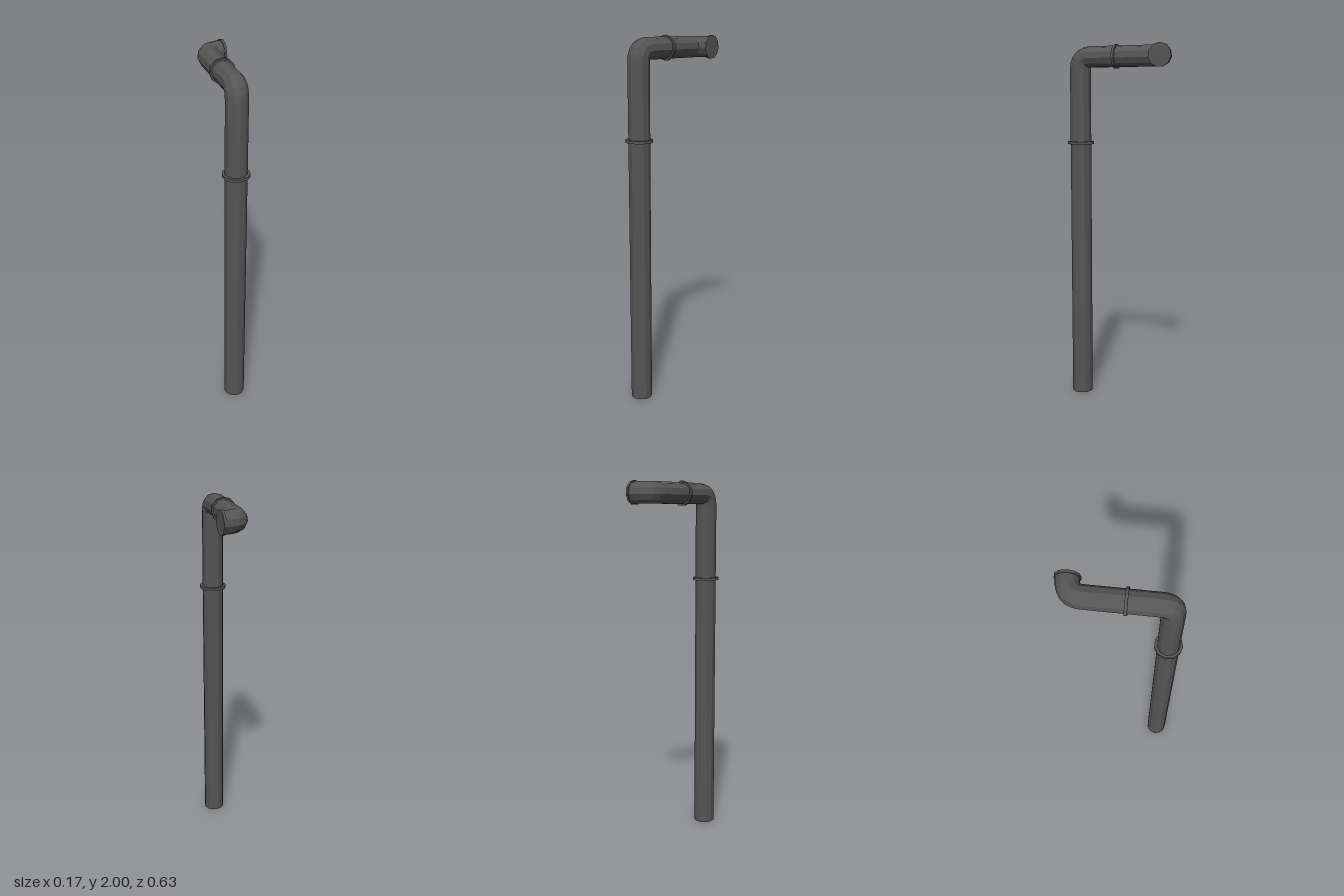
import * as THREE from 'three';

const SIDES = 11;
const PIPE_R = 0.0585;
const V = (x, y, z) => new THREE.Vector3(x, y, z);

// Closed, faceted tube through rings of { c: centre, t: direction, n: ridge direction }
function sweep(rings, radius) {
  const pos = [];
  const pts = rings.map(({ c, t, n }) => {
    const b = t.clone().cross(n);
    return Array.from({ length: SIDES }, (_, i) => {
      const a = (i / SIDES) * Math.PI * 2;
      return c.clone().addScaledVector(n, radius * Math.cos(a)).addScaledVector(b, radius * Math.sin(a));
    });
  });
  const tri = (...p) => p.forEach((v) => pos.push(v.x, v.y, v.z));
  const last = rings.length - 1;
  for (let j = 0; j < SIDES; j++) {
    const k = (j + 1) % SIDES;
    for (let i = 0; i < last; i++) {
      const [a, b, c, d] = [pts[i][j], pts[i][k], pts[i + 1][k], pts[i + 1][j]];
      tri(a, b, c);
      tri(a, c, d);
    }
    // End caps
    tri(rings[0].c, pts[0][k], pts[0][j]);
    tri(rings[last].c, pts[last][j], pts[last][k]);
  }
  const geo = new THREE.BufferGeometry();
  geo.setAttribute('position', new THREE.Float32BufferAttribute(pos, 3));
  geo.computeVertexNormals();
  return geo;
}

// Rings along a bend; side is the axis the bend turns around, or null when level
function bend(p0, p1, p2, steps, ridge) {
  const curve = new THREE.QuadraticBezierCurve3(p0, p1, p2);
  return Array.from({ length: steps + 1 }, (_, i) => {
    const t = curve.getTangent(i / steps).normalize();
    return { c: curve.getPoint(i / steps), t, n: ridge(t) };
  });
}

export function createModel() {
  const group = new THREE.Group();
  const metal = new THREE.MeshStandardMaterial({ color: 0x555555 });
  const add = (name, geo) => {
    const mesh = new THREE.Mesh(geo, metal);
    mesh.name = name;
    group.add(mesh);
  };

  const X = -0.015, Y = 1.932, Z = 0.243;
  const up = V(0, 1, 0), front = V(0, 0, 1), back = V(0, 0, -1);

  // Pipe: riser, upper elbow, level run, sideways elbow
  const elbow = bend(V(X, Y - 0.065, Z), V(X, Y, Z), V(X, Y, Z - 0.06), 5,
    (t) => V(1, 0, 0).cross(t));
  const outlet = bend(V(X, Y, -0.18), V(X, Y, -0.245), V(0.072, Y, -0.252), 6,
    () => up.clone());
  add('pipe', sweep([{ c: V(X, 0, Z), t: up, n: front }, ...elbow, ...outlet], PIPE_R));

  // Collars and end flange: short, wider discs around the pipe
  const collar = (name, centre, dir, ridge, radius, thickness) => {
    const rings = [-0.5, 0.5].map((s) => ({
      c: centre.clone().addScaledVector(dir, s * thickness), t: dir, n: ridge,
    }));
    add(name, sweep(rings, radius));
  };
  collar('riserCollar', V(X, 1.46, Z), up, front, 0.0735, 0.015);
  collar('runCollar', V(X, Y, 0.028), back, up, 0.0675, 0.015);
  collar('endFlange', V(0.0775, Y, -0.252), V(1, 0, -0.047).normalize(), up, 0.064, 0.013);

  return group;
}
